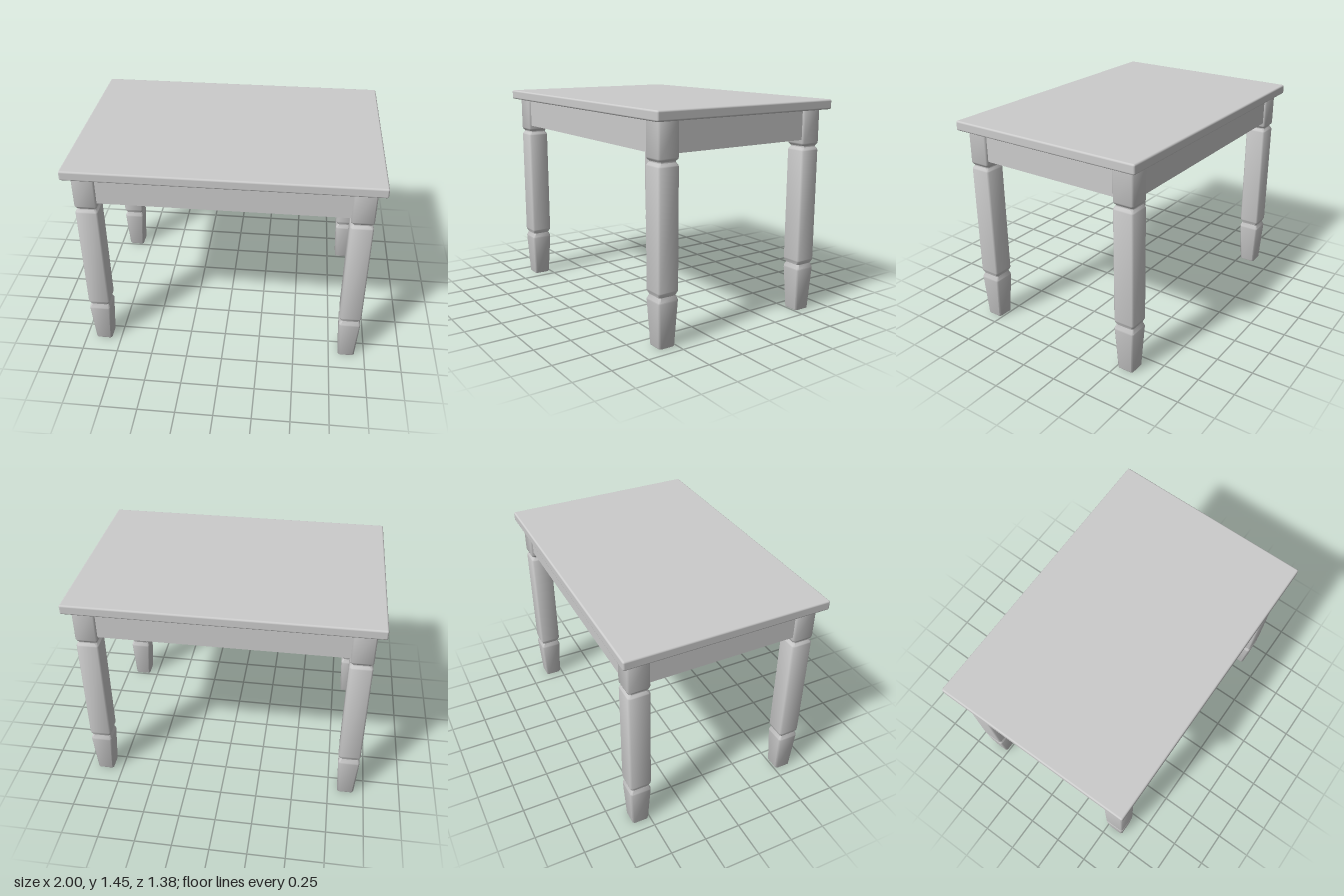
import * as THREE from 'three';
import { toCreasedNormals } from 'three/addons/utils/BufferGeometryUtils.js';
import { RoundedBoxGeometry } from 'three/addons/geometries/RoundedBoxGeometry.js';

const LEG_X = 0.873, LEG_Z = 0.568, LEG_HALF = 0.073;
const TOP_Y = 1.38;

// Leg profile from foot to top: [height, half width]
const LEG_PROFILE = [
  [0, 0.055], [0.005, 0.057], [0.29, 0.072], [0.3, 0.072], [0.328, 0.061],
  [0.352, 0.072], [0.36, 0.073], [1.11, 0.073], [1.118, 0.071], [1.134, 0.061],
  [1.142, 0.061], [1.152, 0.07], [1.162, 0.073], [TOP_Y, 0.073],
];

// Square cross-section with bevelled corners, lofted along the profile
function legGeometry() {
  const bevel = 0.011, pos = [], index = [], n = 8;
  for (const [y, h] of LEG_PROFILE) {
    const k = h - bevel;
    const ring = [[h, k], [k, h], [-k, h], [-h, k], [-h, -k], [-k, -h], [k, -h], [h, -k]];
    for (const [x, z] of ring) pos.push(x, y, z);
  }
  const rows = LEG_PROFILE.length;
  for (let r = 0; r < rows - 1; r++) {
    for (let i = 0; i < n; i++) {
      const a = r * n + i, b = r * n + (i + 1) % n;
      index.push(a, a + n, b, b, a + n, b + n);
    }
  }
  // Foot and top caps
  const t = (rows - 1) * n;
  for (let i = 1; i < n - 1; i++) index.push(0, i, i + 1, t, t + i + 1, t + i);
  const g = new THREE.BufferGeometry();
  g.setAttribute('position', new THREE.Float32BufferAttribute(pos, 3));
  g.setIndex(index);
  return toCreasedNormals(g, THREE.MathUtils.degToRad(50));
}

export function createModel() {
  const model = new THREE.Group();
  model.name = 'table';
  const material = new THREE.MeshStandardMaterial({ color: 0xcccccc });
  const add = (name, geometry, x, y, z) => {
    const mesh = new THREE.Mesh(geometry, material);
    mesh.name = name;
    mesh.position.set(x, y, z);
    model.add(mesh);
  };

  // Tabletop with softened edges
  add('tabletop', new RoundedBoxGeometry(2, 0.065, 1.376, 3, 0.012), 0, TOP_Y + 0.0325, 0);

  // Four legs
  const leg = legGeometry();
  for (const sx of [-1, 1]) {
    for (const sz of [-1, 1]) {
      add(`${sz > 0 ? 'front' : 'back'}${sx > 0 ? 'Left' : 'Right'}Leg`, leg, sx * LEG_X, 0, sz * LEG_Z);
    }
  }

  // Aprons between the legs, set slightly behind the legs' outer faces
  const height = 0.195, thick = 0.075, inset = 0.015;
  const offset = LEG_HALF - inset - thick / 2;
  const y = TOP_Y - height / 2;
  const long = new THREE.BoxGeometry(2 * (LEG_X - LEG_HALF) + 0.01, height, thick);
  const short = new THREE.BoxGeometry(thick, height, 2 * (LEG_Z - LEG_HALF) + 0.01);
  for (const s of [-1, 1]) {
    add(s > 0 ? 'frontApron' : 'backApron', long, 0, y, s * (LEG_Z + offset));
    add(s > 0 ? 'leftApron' : 'rightApron', short, s * (LEG_X + offset), y, 0);
  }
  return model;
}
